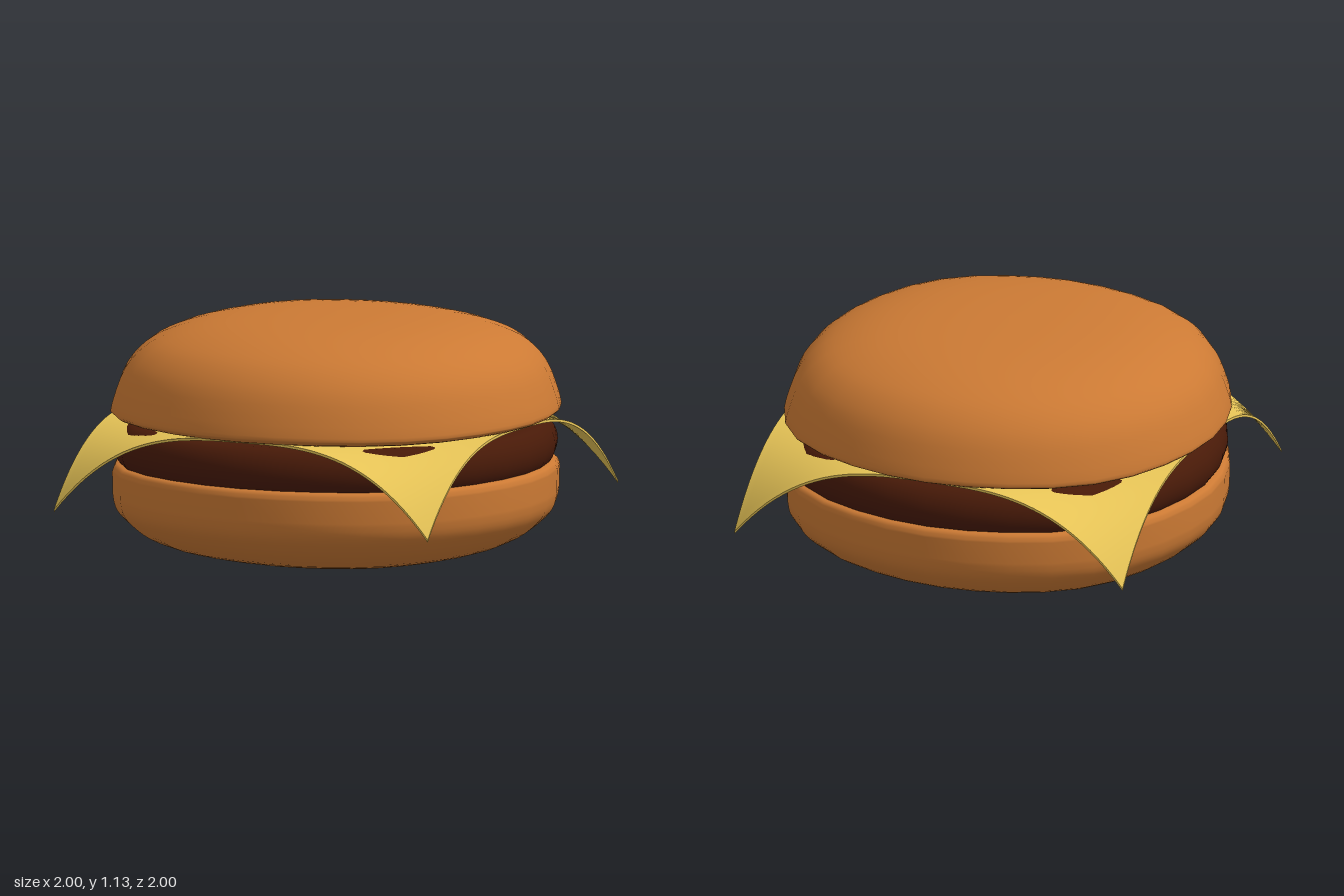
import * as THREE from 'three';

const BUN = 0xcc7a34, PATTY = 0x481a08, CHEESE = 0xe8c557;

// Round part from profile runs (radius, height), bottom axis to top axis,
// swollen slightly along the diagonals so the outline is a little squarish
function roundPart(name, color, ...runs) {
  const profile = [];
  for (const run of runs) {
    const pts = run.map(([r, y]) => new THREE.Vector2(r, y));
    const dense = pts.length > 2 ? new THREE.SplineCurve(pts).getPoints((pts.length - 1) * 3) : pts;
    for (const p of dense) {
      p.x = Math.max(0, p.x);
      const last = profile[profile.length - 1];
      if (!last || last.distanceTo(p) > 1e-4) profile.push(p);
    }
  }
  const geo = new THREE.LatheGeometry(profile, 32);
  const pos = geo.attributes.position;
  for (let i = 0; i < pos.count; i++) {
    const x = pos.getX(i), z = pos.getZ(i);
    const swell = 1 + 0.032 * Math.sin(2 * Math.atan2(z, x)) ** 4;
    pos.setX(i, x * swell);
    pos.setZ(i, z * swell);
  }
  const mesh = new THREE.Mesh(geo, new THREE.MeshStandardMaterial({ color }));
  mesh.name = name;
  return mesh;
}

// Thin square slice, flat in the middle, drooping and folding at the four corners
function cheeseSlice() {
  const half = 0.945, top = 0.677, thick = 0.012, droop = 0.385;
  const geo = new THREE.BoxGeometry(half * 2, thick, half * 2, 48, 1, 48);
  const pos = geo.attributes.position;
  for (let i = 0; i < pos.count; i++) {
    const corner = Math.abs(pos.getX(i) * pos.getZ(i)) / (half * half);
    pos.setY(i, pos.getY(i) + top - thick / 2 - droop * corner ** 3);
  }
  geo.computeVertexNormals();
  const mesh = new THREE.Mesh(geo, new THREE.MeshStandardMaterial({ color: CHEESE, side: THREE.DoubleSide }));
  mesh.name = 'cheeseSlice';
  return mesh;
}

export function createModel() {
  const model = new THREE.Group();
  model.name = 'cheeseburger';

  // Bottom bun: rounded underside, upright wall, small bevel and flat top
  model.add(roundPart('bottomBun', BUN,
    [[0, 0.006], [0.25, 0.012], [0.47, 0.032], [0.71, 0.078], [0.85, 0.134], [0.94, 0.205], [0.978, 0.26], [0.99, 0.32]],
    [[0.99, 0.32], [0.992, 0.42]],
    [[0.992, 0.42], [0.98, 0.45], [0.95, 0.46]],
    [[0.95, 0.46], [0.9, 0.461]],
    [[0.9, 0.461], [0, 0.461]]));

  // Patty: disc with a half-round edge
  const edge = [];
  for (let i = 0; i <= 8; i++) {
    const a = -Math.PI / 2 + (i / 8) * Math.PI;
    edge.push([0.89 + 0.093 * Math.cos(a), 0.535 + 0.11 * Math.sin(a)]);
  }
  model.add(roundPart('patty', PATTY, [[0, 0.425], [0.86, 0.425]], edge, [[0.86, 0.645], [0, 0.645]]));

  model.add(cheeseSlice());

  // Top bun: flat underside, rounded rim and domed crown
  model.add(roundPart('topBun', BUN,
    [[0, 0.642], [0.78, 0.642]],
    [[0.78, 0.642], [0.88, 0.656], [0.97, 0.674], [1, 0.695]],
    [[1, 0.695], [0.985, 0.76], [0.935, 0.89], [0.85, 0.987], [0.74, 1.047], [0.6, 1.089], [0.43, 1.115], [0.22, 1.129], [0, 1.133]]));

  return model;
}
